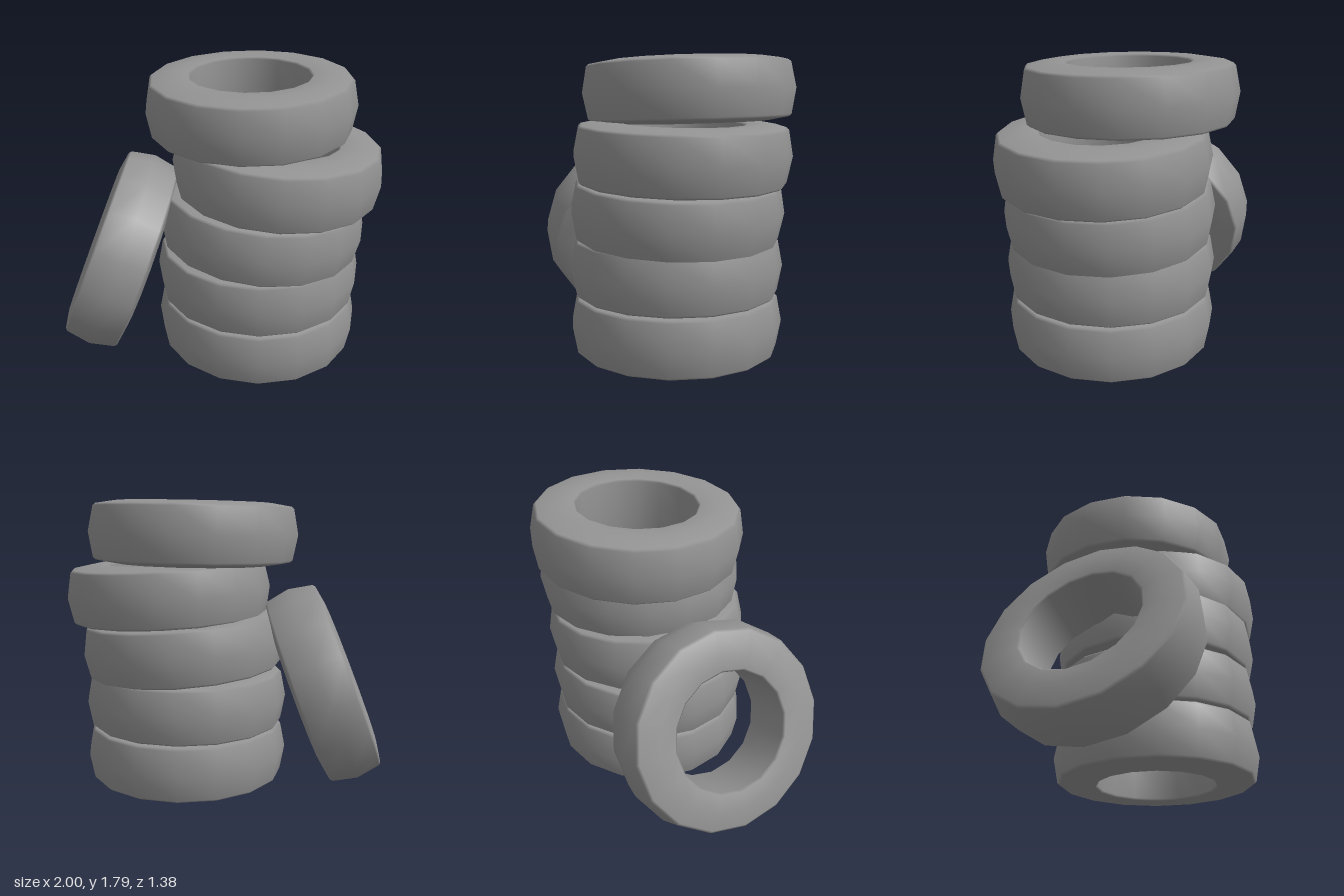
import * as THREE from 'three';

const SIDES = 16;

// Closed tyre cross-section, starting and ending on the inner wall;
// narrow bevels keep the sidewalls flat and the tread evenly rounded
function tyreGeometry() {
  const upper = [[0.365, 0.17], [0.378, 0.182], [0.48, 0.187], [0.598, 0.167], [0.614, 0.153]];
  const points = [
    [0.365, 0],
    ...upper.map(([r, y]) => [r, -y]),
    [0.643, 0],
    ...upper.slice().reverse(),
    [0.365, 0],
  ].map(([r, y]) => new THREE.Vector2(r, y));
  const geometry = new THREE.LatheGeometry(points, SIDES);
  geometry.normalizeNormals();
  return geometry;
}

export function createModel() {
  const group = new THREE.Group();
  group.name = 'tyreStack';
  const geometry = tyreGeometry();
  const material = new THREE.MeshStandardMaterial({ color: 0x949494 });

  // position, then pitch (x), spin (y) and roll (z)
  const tyres = [
    ['bottomTyre', [0.25, 0.195, 0.047], [0, 0, 0]],
    ['secondTyre', [0.25, 0.541, 0.047], [0, 0, 0]],
    ['middleTyre', [0.266, 0.88, 0.047], [0, 0, -0.075]],
    ['fourthTyre', [0.356, 1.22, 0.047], [0, 0, -0.05]],
    ['topTyre', [0.187, 1.585, -0.053], [0.022, -0.105, 0.018]],
    ['leaningTyre', [-0.632, 0.628, 0.043], [0, 0, 1.204]],
  ];

  for (const [name, position, rotation] of tyres) {
    const tyre = new THREE.Mesh(geometry, material);
    tyre.name = name;
    tyre.position.set(...position);
    tyre.rotation.set(...rotation, 'ZXY');
    group.add(tyre);
  }
  return group;
}
